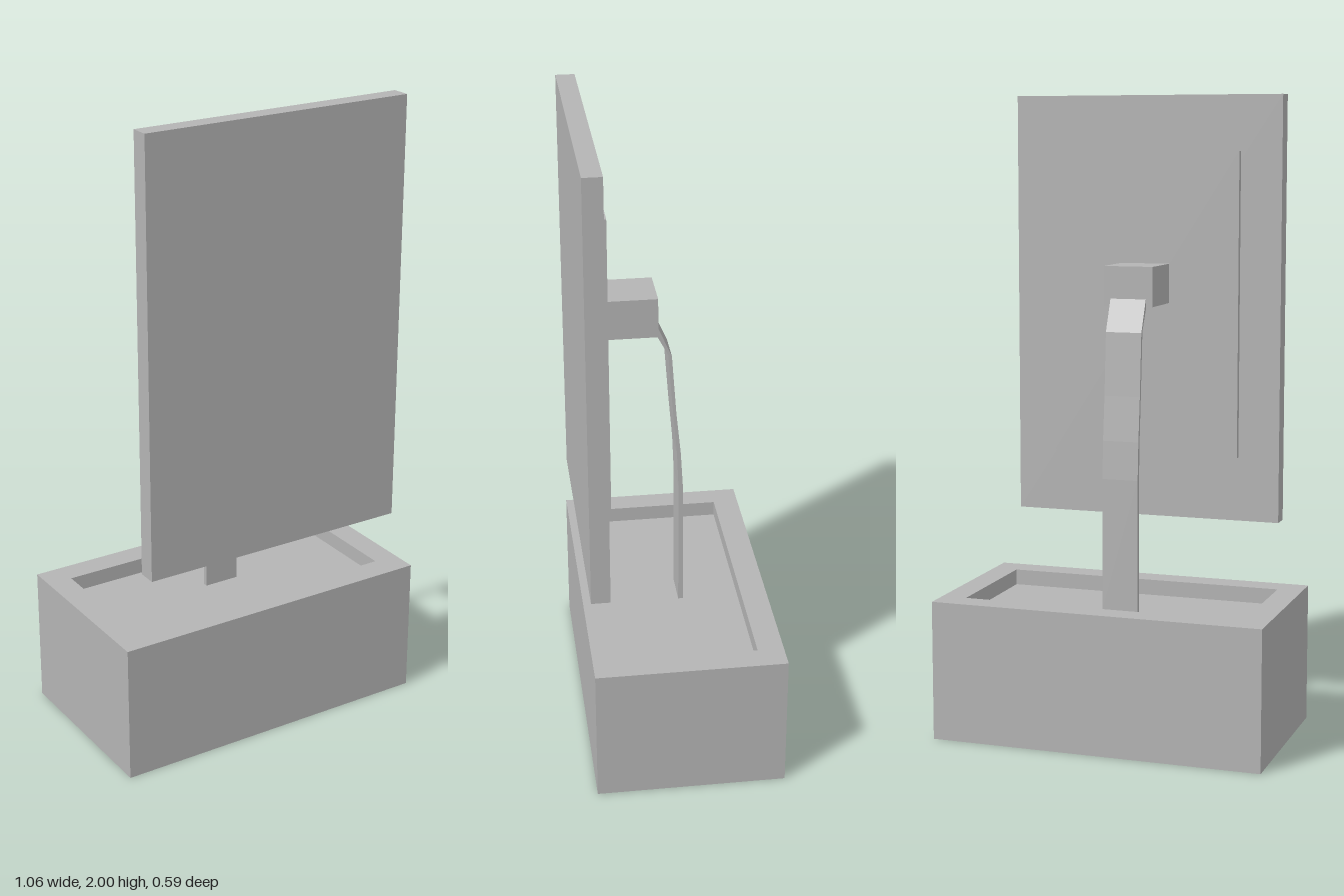
import * as THREE from 'three';

export function createModel() {
  const group = new THREE.Group();
  const grey = new THREE.MeshStandardMaterial({ color: 0xb4b4b4 });
  grey.name = 'grey';

  const add = (name, geometry) => {
    const mesh = new THREE.Mesh(geometry, grey);
    mesh.name = name;
    group.add(mesh);
    return mesh;
  };
  // Box given by its width, centred on x, and its y and z ranges
  const box = (name, width, y0, y1, z0, z1) =>
    add(name, new THREE.BoxGeometry(width, y1 - y0, z1 - z0))
      .position.set(0, (y0 + y1) / 2, (z0 + z1) / 2);
  const rect = (target, x, y0, y1) =>
    target.moveTo(-x, y0).lineTo(x, y0).lineTo(x, y1).lineTo(-x, y1).closePath();

  // Base block with a shallow rectangular recess in its top
  const floorY = 0.39, topY = 0.44;
  const lower = new THREE.Shape();
  rect(lower, 0.528, -0.295, 0.295);
  const rim = lower.clone();
  const recess = new THREE.Path();
  rect(recess, 0.448, -0.21, 0.213);
  rim.holes.push(recess);
  const slab = (name, shape, y, depth) => {
    const geometry = new THREE.ExtrudeGeometry(shape, { depth, bevelEnabled: false });
    geometry.rotateX(-Math.PI / 2);
    add(name, geometry).position.y = y;
  };
  slab('base', lower, 0, floorY);
  slab('baseRim', rim, floorY, topY - floorY);

  // Curved stand strip: side profile as (z, y), extruded across x
  const profile = [
    [0.05, 1.345], [0.012, 1.272], [-0.003, 1.07], [-0.015, 0.93], [-0.02, 0.81], [-0.02, floorY],
    [-0.036, floorY], [-0.034, 0.81], [-0.027, 0.93], [-0.013, 1.07], [0.001, 1.268], [0.05, 1.38],
  ];
  const side = new THREE.Shape(profile.map(([z, y]) => new THREE.Vector2(-z, y)));
  const strip = new THREE.ExtrudeGeometry(side, { depth: 0.116, bevelEnabled: false });
  strip.translate(0, 0, -0.058).rotateY(Math.PI / 2);
  add('stand', strip);

  // Mount block, back panel and screen
  box('mount', 0.16, 1.345, 1.47, 0.045, 0.217);
  box('backPanel', 0.616, 0.855, 1.825, 0.217, 0.236);
  box('screen', 0.882, 0.65, 2, 0.236, 0.295);

  return group;
}
